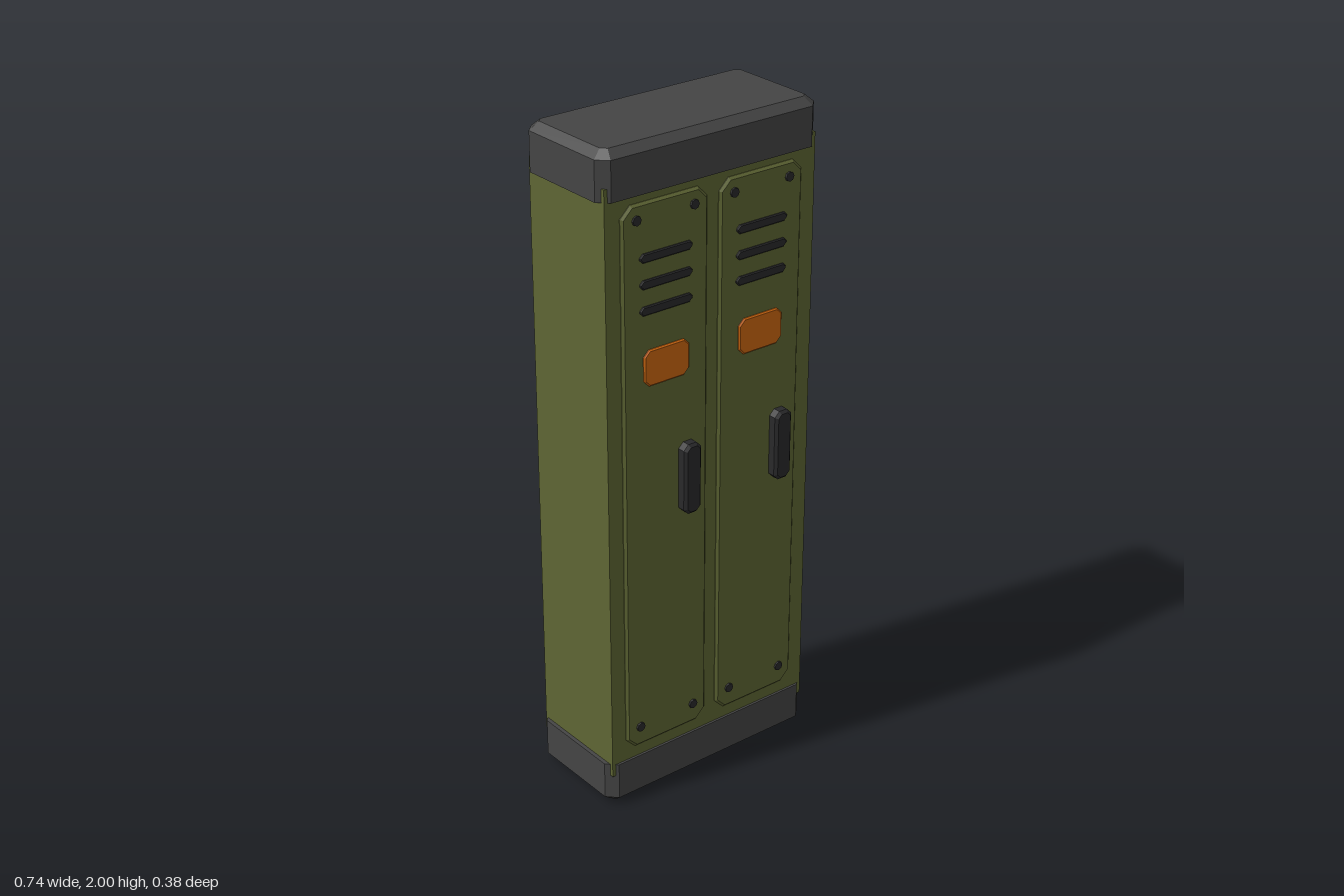
import * as THREE from 'three';

const mat = (name, color) => Object.assign(new THREE.MeshStandardMaterial({ color }), { name });

// Rectangle outline with four cut corners, shrunk evenly by inset
function cutRect(w, h, cut, inset = 0) {
  const x = w / 2 - inset, y = h / 2 - inset;
  const c = Math.max(cut - inset * 0.586, 0.001);
  return [[x, y - c], [x - c, y], [c - x, y], [-x, y - c],
    [-x, c - y], [c - x, -y], [x - c, -y], [x, c - y]];
}

// Cut-corner plate rising from z = 0 to depth, its front edge chamfered
function plate(w, h, depth, cut, inset, chamfer = inset) {
  const rings = [[0, 0], [depth - chamfer, 0], [depth, inset]]
    .map(([z, i]) => cutRect(w, h, cut, i).map(([x, y]) => [x, y, z]));
  const pos = [];
  const tri = (a, b, c) => pos.push(...a, ...b, ...c);
  for (let i = 0; i < 8; i++) {
    const j = (i + 1) % 8;
    for (let r = 0; r < 2; r++) {
      const lo = rings[r], hi = rings[r + 1];
      tri(lo[i], lo[j], hi[j]);
      tri(lo[i], hi[j], hi[i]);
    }
    tri([0, 0, depth], rings[2][i], rings[2][j]);
    tri([0, 0, 0], rings[0][j], rings[0][i]);
  }
  const geo = new THREE.BufferGeometry();
  geo.setAttribute('position', new THREE.Float32BufferAttribute(pos, 3));
  geo.computeVertexNormals();
  return geo;
}

export function createModel() {
  const olive = mat('olive paint', 0x5f6634);
  const grey = mat('dark grey', 0x454545);
  const black = mat('black fittings', 0x29292b);
  const orange = mat('orange label', 0xcc6610);

  const model = new THREE.Group();
  model.name = 'locker';
  const add = (parent, name, geo, material, x, y, z) => {
    const mesh = new THREE.Mesh(geo, material);
    mesh.name = name;
    mesh.position.set(x, y, z);
    parent.add(mesh);
    return mesh;
  };

  // Cabinet body
  add(model, 'body', new THREE.BoxGeometry(0.714, 1.8, 0.327), olive, 0, 1, -0.0165);

  // Top and bottom caps, chamfered on their outer edges
  const capGeo = plate(0.738, 0.344, 0.138, 0.03, 0.026, 0.023);
  add(model, 'topCap', capGeo, grey, 0, 1.862, -0.018).rotation.x = -Math.PI / 2;
  add(model, 'bottomCap', capGeo, grey, 0, 0.138, -0.018).rotation.x = Math.PI / 2;

  // Shared door part shapes
  const doorGeo = plate(0.288, 1.665, 0.012, 0.032, 0.007);
  const ventGeo = plate(0.176, 0.026, 0.009, 0.01, 0.003);
  const labelGeo = plate(0.154, 0.107, 0.009, 0.018, 0.004);
  const handleGeo = plate(0.06, 0.216, 0.034, 0.016, 0.008);
  const screwGeo = new THREE.CylinderGeometry(0.014, 0.014, 0.01, 8).rotateX(Math.PI / 2).toNonIndexed();
  screwGeo.computeVertexNormals();

  // Two matching doors
  for (const [side, x] of [['right', -0.165], ['left', 0.163]]) {
    const door = new THREE.Group();
    door.name = side + 'Door';
    door.position.set(x, 0, 0.144);
    model.add(door);
    add(door, 'doorPanel', doorGeo, olive, 0, 1.008, 0);
    for (const y of [1.687, 1.612, 1.537]) add(door, 'vent', ventGeo, black, 0, y, 0.009);
    add(door, 'label', labelGeo, orange, 0, 1.368, 0.009);
    add(door, 'handle', handleGeo, black, 0.073, 1.002, 0.009);
    for (const sx of [-0.097, 0.095])
      for (const y of [0.24, 1.797]) add(door, 'screw', screwGeo, black, sx, y, 0.013);
  }
  return model;
}
